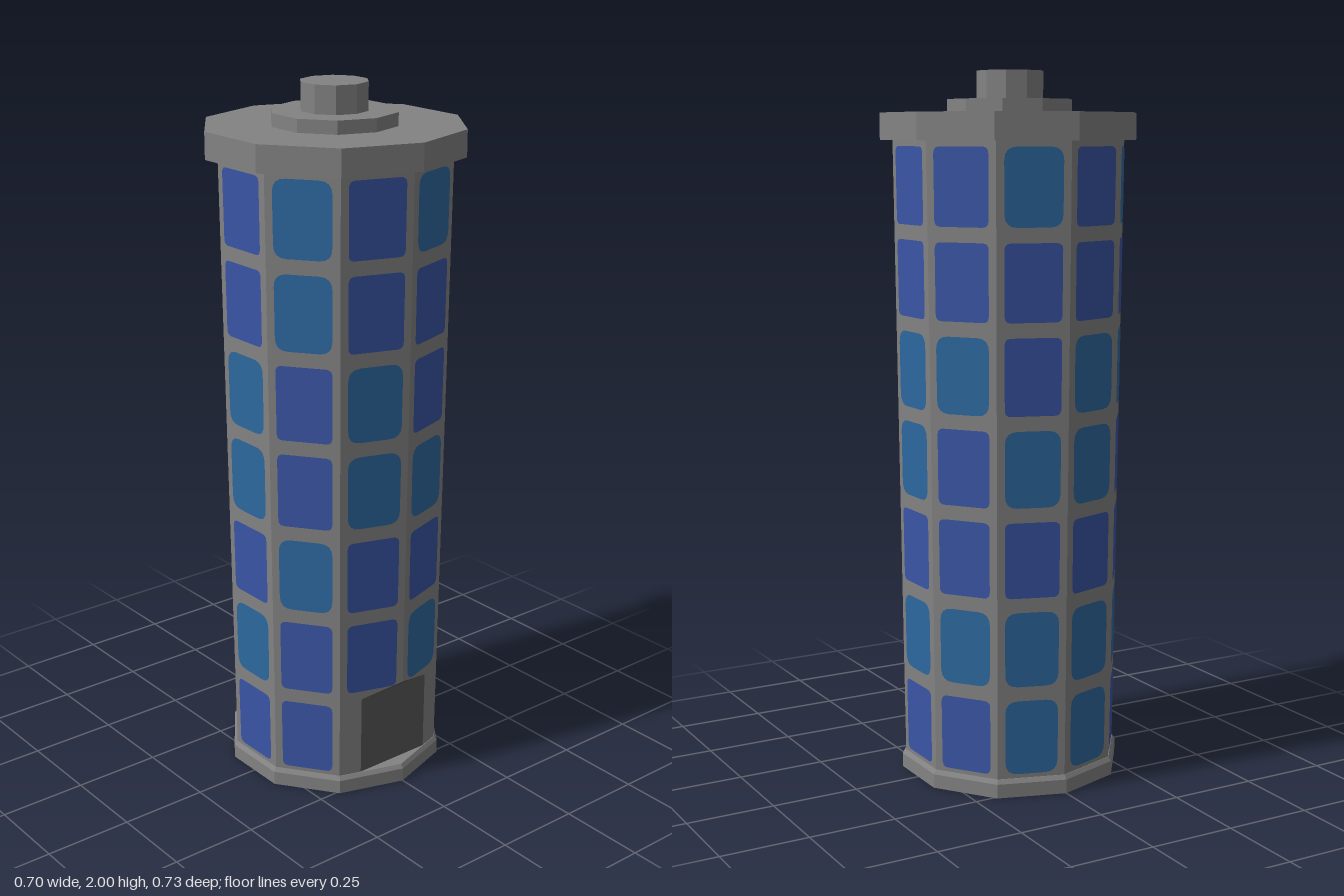
import * as THREE from 'three';

const SIDES = 10, STEP = (Math.PI * 2) / SIDES;
const Y0 = 0.045, Y1 = 1.815, R0 = 0.31, R1 = 0.331;
const radiusAt = (y) => R0 + ((R1 - R0) * (y - Y0)) / (Y1 - Y0);
const DOOR_X = 0.12, DOOR_TOP = 0.29, LINTEL_TOP = 0.323;

const mat = (name, color, flatShading = true) => {
  const m = new THREE.MeshStandardMaterial({ color, flatShading });
  m.name = name;
  return m;
};

// Window colours per face, from the bottom row up (I indigo, T teal, - none)
const PATTERN = [
  '-TITIIT', 'IITIITI', 'ITITTII', 'ITIITII', 'TTITIIT',
  'TTITTII', 'ITIITIT', 'ITITTII', 'IITIITT', '-IITTII',
];

// Ring of wall points; the front corner is flattened when cut is true
function ring(y, cut) {
  const r = radiusAt(y), z = r - DOOR_X * Math.tan(STEP / 2);
  const pts = [[0, y, cut ? z : r], [DOOR_X, y, z]];
  for (let i = 1; i < SIDES; i++) pts.push([r * Math.sin(i * STEP), y, r * Math.cos(i * STEP)]);
  pts.push([-DOOR_X, y, z]);
  return pts;
}

function fromTriangles(tris) {
  const g = new THREE.BufferGeometry();
  g.setAttribute('position', new THREE.Float32BufferAttribute(tris.flat(2), 3));
  g.computeVertexNormals();
  return g;
}

// Tapered wall with the entrance cut out of its front corner
function buildWalls() {
  const rings = [ring(Y0, true), ring(DOOR_TOP, true), ring(LINTEL_TOP, false), ring(Y1, false)];
  const wall = [], door = [];
  for (let k = 0; k < 3; k++) {
    const lo = rings[k], hi = rings[k + 1], n = lo.length;
    for (let i = 0; i < n; i++) {
      const j = (i + 1) % n, a = lo[i], b = lo[j], c = hi[j], d = hi[i];
      const first = i === 0, last = i === n - 1;
      if (k === 0) (first || last ? door : wall).push([a, b, c], [a, c, d]);
      else if (k === 1 && first) { door.push([a, b, d]); wall.push([b, c, d]); }
      else if (k === 1 && last) { door.push([a, b, c]); wall.push([a, c, d]); }
      else wall.push([a, b, c], [a, c, d]);
    }
  }
  return { wall: fromTriangles(wall), door: fromTriangles(door) };
}

// Slightly tapered pane with rounded corners
function paneGeometry(bottomHalf, topHalf, h, r) {
  const s = new THREE.Shape(), y = h / 2, b = bottomHalf, t = topHalf;
  s.moveTo(-b + r, -y);
  s.lineTo(b - r, -y);
  s.quadraticCurveTo(b, -y, b, -y + r);
  s.lineTo(t, y - r);
  s.quadraticCurveTo(t, y, t - r, y);
  s.lineTo(-t + r, y);
  s.quadraticCurveTo(-t, y, -t, y - r);
  s.lineTo(-b, -y + r);
  s.quadraticCurveTo(-b, -y, -b + r, -y);
  return new THREE.ShapeGeometry(s, 4);
}

export function createModel() {
  const model = new THREE.Group();
  model.name = 'tower';
  const grey = mat('concrete grey', 0x838383);
  const dark = mat('entrance grey', 0x5a5a5a);
  const glass = { I: mat('indigo glass', 0x3a56a6), T: mat('teal glass', 0x2d69a0) };

  const add = (name, geometry, material, parent = model) => {
    const m = new THREE.Mesh(geometry, material);
    m.name = name;
    parent.add(m);
    return m;
  };
  const slab = (name, rTop, rBottom, y0, y1) => {
    add(name, new THREE.CylinderGeometry(rTop, rBottom, y1 - y0, SIDES), grey).position.y = (y0 + y1) / 2;
  };

  // Plinth, walls and stepped roof
  slab('plinth', 0.32, 0.32, 0, 0.04);
  slab('plinthBevel', 0.312, 0.32, 0.04, 0.052);
  const { wall, door } = buildWalls();
  add('walls', wall, grey);
  add('entrance', door, dark);
  slab('roofSlab', 0.366, 0.366, 1.81, 1.885);
  slab('roofStep', 0.178, 0.178, 1.885, 1.922);
  slab('roofDrum', 0.095, 0.095, 1.922, 2);

  // Windows on every face
  const tilt = Math.atan(((R1 - R0) * Math.cos(STEP / 2)) / (Y1 - Y0));
  const H = 0.212, PITCH = 0.253, FIRST = 0.064;
  const half = (y) => radiusAt(y) * Math.sin(STEP / 2) - 0.0215;
  const panes = [];
  for (let row = 0; row < 7; row++) {
    const y = FIRST + row * PITCH;
    panes.push({
      y: y + H / 2,
      I: paneGeometry(half(y), half(y + H), H, 0.018),
      T: paneGeometry(half(y), half(y + H), H, 0.036),
    });
  }
  PATTERN.forEach((column, k) => {
    const face = new THREE.Group();
    face.name = 'windowColumn' + (k + 1);
    face.rotation.y = (k + 0.5) * STEP;
    model.add(face);
    panes.forEach((pane, row) => {
      const kind = column[row];
      if (kind === '-') return;
      const w = add('window', pane[kind], glass[kind], face);
      w.position.set(0, pane.y, radiusAt(pane.y) * Math.cos(STEP / 2) + 0.002);
      w.rotation.x = tilt;
    });
  });
  return model;
}
